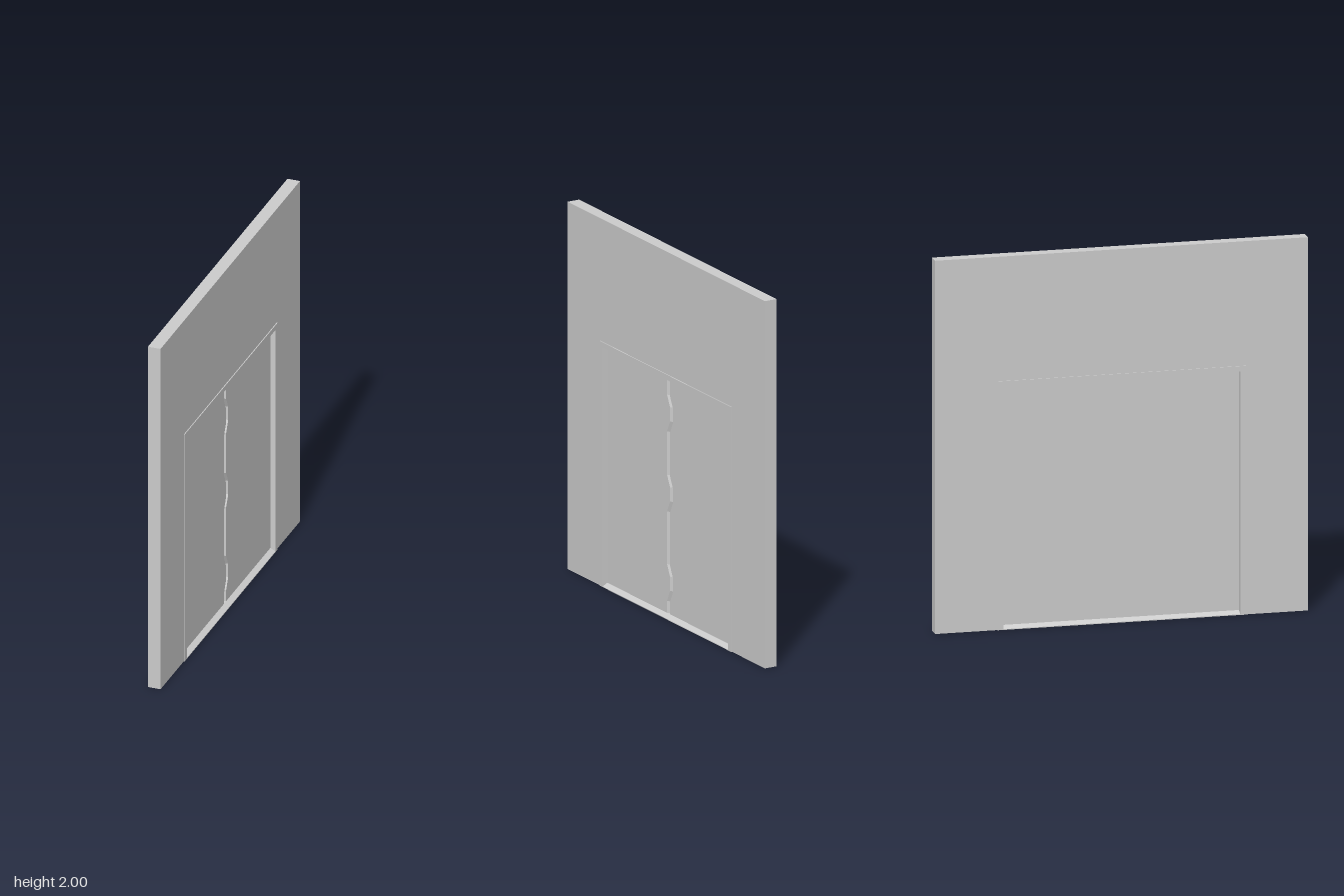
import * as THREE from 'three';

const material = new THREE.MeshStandardMaterial({ color: 0xcccccc, flatShading: true, side: THREE.DoubleSide });

const OPEN_W = 0.635, OPEN_H = 1.305; // clear opening (half width, height)
const TRIM_W = 0.667, TRIM_H = 1.333; // outer edge of the door trim
const DOOR = 0.012, GROOVE = -0.008, BEVEL = 0.03;

// Extrudes an outline (u = -z, v = y) between two x positions
function slab(name, points, x0, x1) {
  const shape = new THREE.Shape(points.map(([u, v]) => new THREE.Vector2(u, v)));
  const geometry = new THREE.ExtrudeGeometry(shape, { depth: x1 - x0, bevelEnabled: false });
  geometry.translate(0, 0, x0).rotateY(Math.PI / 2);
  const mesh = new THREE.Mesh(geometry, material);
  mesh.name = name;
  return mesh;
}

// Upside-down U outline around an opening
function arch(w, h, iw, ih) {
  return [[-w, 0], [-iw, 0], [-iw, ih], [iw, ih], [iw, 0], [w, 0], [w, h], [-w, h]];
}

// Meeting line of the two leaves, with three stepped bulges
function seamLine() {
  const line = [[0, 0]];
  for (const y of [0.185, 0.672, 1.108]) {
    line.push([0, y - 0.1], [BEVEL, y - 0.038], [BEVEL, y + 0.04], [0, y + 0.1]);
  }
  line.push([0, OPEN_H]);
  return line;
}

// Sloped strip falling from the left leaf into the seam
function bevelStrip(seam) {
  const positions = [], index = [];
  seam.forEach(([u, v], i) => {
    positions.push(DOOR, v, -(u - BEVEL), GROOVE, v, -u);
    if (i > 0) {
      const a = 2 * (i - 1);
      index.push(a, a + 1, a + 3, a, a + 3, a + 2);
    }
  });
  const geometry = new THREE.BufferGeometry();
  geometry.setAttribute('position', new THREE.Float32BufferAttribute(positions, 3));
  geometry.setIndex(index);
  geometry.computeVertexNormals();
  const mesh = new THREE.Mesh(geometry, material);
  mesh.name = 'seamBevel';
  return mesh;
}

// Threshold sloping down to both faces
function threshold() {
  const profile = new THREE.Shape([
    [-0.04, 0], [0.04, 0], [0.04, 0.004], [DOOR, 0.02], [-DOOR, 0.02], [-0.04, 0.004],
  ].map(([x, y]) => new THREE.Vector2(x, y)));
  const geometry = new THREE.ExtrudeGeometry(profile, { depth: 2 * OPEN_W, bevelEnabled: false });
  geometry.translate(0, 0, -OPEN_W);
  const mesh = new THREE.Mesh(geometry, material);
  mesh.name = 'threshold';
  return mesh;
}

export function createModel() {
  const model = new THREE.Group();
  model.name = 'wallWithDoubleDoor';

  // Wall and trim around the opening
  model.add(slab('wall', arch(1, 2, TRIM_W, TRIM_H), -0.035, 0.035));
  model.add(slab('doorTrim', arch(TRIM_W, TRIM_H, OPEN_W, OPEN_H), -0.04, 0.04));
  model.add(threshold());

  // Door: plain back, two interlocking leaves on the +x side
  const seam = seamLine();
  const back = [[-OPEN_W, 0], [OPEN_W, 0], [OPEN_W, OPEN_H], [-OPEN_W, OPEN_H]];
  model.add(slab('doorBack', back, -DOOR, GROOVE));
  const leftEdge = seam.map(([u, v]) => [u - BEVEL, v]);
  model.add(slab('leftLeaf', [[-OPEN_W, 0], ...leftEdge, [-OPEN_W, OPEN_H]], GROOVE, DOOR));
  model.add(slab('rightLeaf', [[OPEN_W, 0], [OPEN_W, OPEN_H], ...seam.slice().reverse()], GROOVE, DOOR));
  model.add(bevelStrip(seam));

  return model;
}
